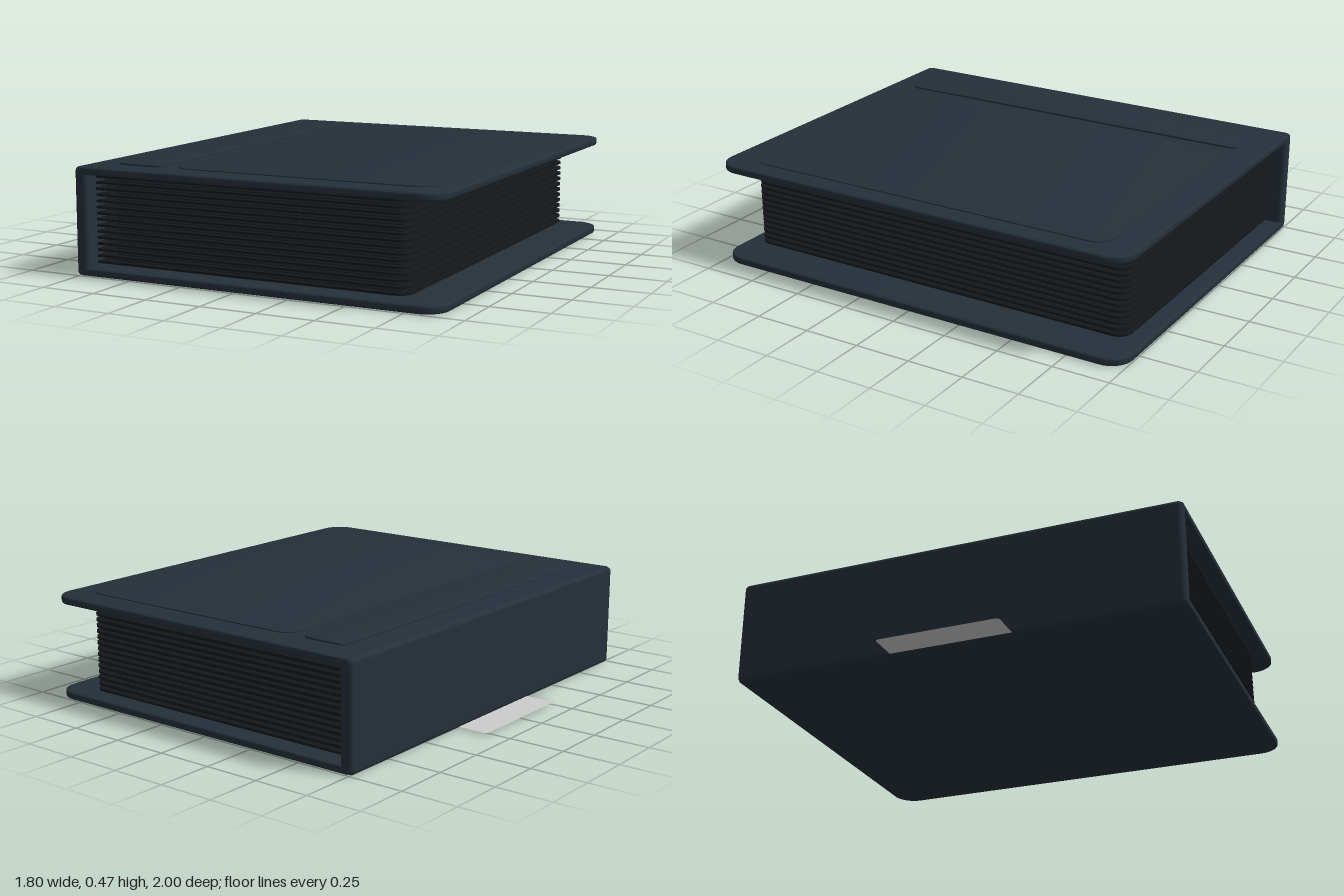
import * as THREE from 'three';
import { RoundedBoxGeometry } from 'three/addons/geometries/RoundedBoxGeometry.js';
import { toCreasedNormals } from 'three/addons/utils/BufferGeometryUtils.js';

// Rectangle in plan (x, z) with separate corner radii on the -x and +x sides
function plan(x0, x1, halfZ, rLeft, rRight) {
  const s = new THREE.Shape();
  s.moveTo(x0 + rLeft, -halfZ);
  s.lineTo(x1 - rRight, -halfZ);
  s.absarc(x1 - rRight, -halfZ + rRight, rRight, -Math.PI / 2, 0);
  s.absarc(x1 - rRight, halfZ - rRight, rRight, 0, Math.PI / 2);
  s.absarc(x0 + rLeft, halfZ - rLeft, rLeft, Math.PI / 2, Math.PI);
  s.absarc(x0 + rLeft, -halfZ + rLeft, rLeft, Math.PI, Math.PI * 1.5);
  return s;
}

// Horizontal slab between y0 and y1, optionally with rounded rims
function slab(shape, y0, y1, bevel = 0) {
  const g = new THREE.ExtrudeGeometry(shape, {
    depth: y1 - y0 - 2 * bevel, curveSegments: 10,
    bevelEnabled: bevel > 0, bevelThickness: bevel, bevelSize: bevel,
    bevelOffset: -bevel, bevelSegments: 3,
  });
  g.rotateX(-Math.PI / 2).translate(0, y0 + bevel, 0);
  return toCreasedNormals(g, 0.7);
}

export function createModel() {
  const leather = new THREE.MeshStandardMaterial({ color: 0x25303a });
  leather.name = 'slate cover';
  const dark = new THREE.MeshStandardMaterial({ color: 0x14181b });
  dark.name = 'black pages';
  const pale = new THREE.MeshStandardMaterial({ color: 0xcccccc, side: THREE.DoubleSide });
  pale.name = 'pale grey label';

  const binder = new THREE.Group();
  binder.name = 'binder';
  const add = (name, geometry, material, parent = binder) => {
    const m = new THREE.Mesh(geometry, material);
    m.name = name;
    parent.add(m);
    return m;
  };

  // Covers and spine
  const coverPlan = plan(-0.745, 0.9, 1, 0.005, 0.1);
  add('bottomCover', slab(coverPlan, 0.002, 0.036, 0.008), leather);
  add('topCover', slab(coverPlan, 0.432, 0.466, 0.008), leather);
  add('spine', new RoundedBoxGeometry(0.062, 0.466, 2, 3, 0.02), leather)
    .position.set(-0.735, 0.233, 0);

  // Raised panels on the top cover
  add('narrowPanel', slab(plan(-0.63, -0.42, 0.875, 0.03, 0.03), 0.46, 0.475, 0.003), leather);
  add('widePanel', slab(plan(-0.365, 0.81, 0.875, 0.08, 0.08), 0.46, 0.471, 0.002), leather);

  // Stack of pages, each with a three by three grid of pockets
  const pages = new THREE.Group();
  pages.name = 'pages';
  binder.add(pages);
  const count = 15, bottom = 0.052, top = 0.418;
  const pageGeo = slab(plan(-0.71, 0.735, 0.93, 0.005, 0.06), -0.005, 0.005);
  const pocketGeo = new THREE.BoxGeometry(0.43, 0.017, 0.585);
  for (let i = 0; i < count; i++) {
    const page = new THREE.Group();
    page.name = 'page';
    page.position.y = bottom + (top - bottom) * i / (count - 1);
    pages.add(page);
    add('sheet', pageGeo, dark, page);
    for (let c = -1; c <= 1; c++) {
      for (let r = -1; r <= 1; r++) {
        add('pocket', pocketGeo, dark, page).position.set(0.035 + c * 0.443, 0, r * 0.605);
      }
    }
  }

  // Paper label sticking out from under the spine
  const label = new THREE.ShapeGeometry(plan(-0.9, -0.52, 0.272, 0.015, 0.015), 4);
  label.rotateX(-Math.PI / 2);
  add('label', label, pale).position.y = 0.006;

  return binder;
}
